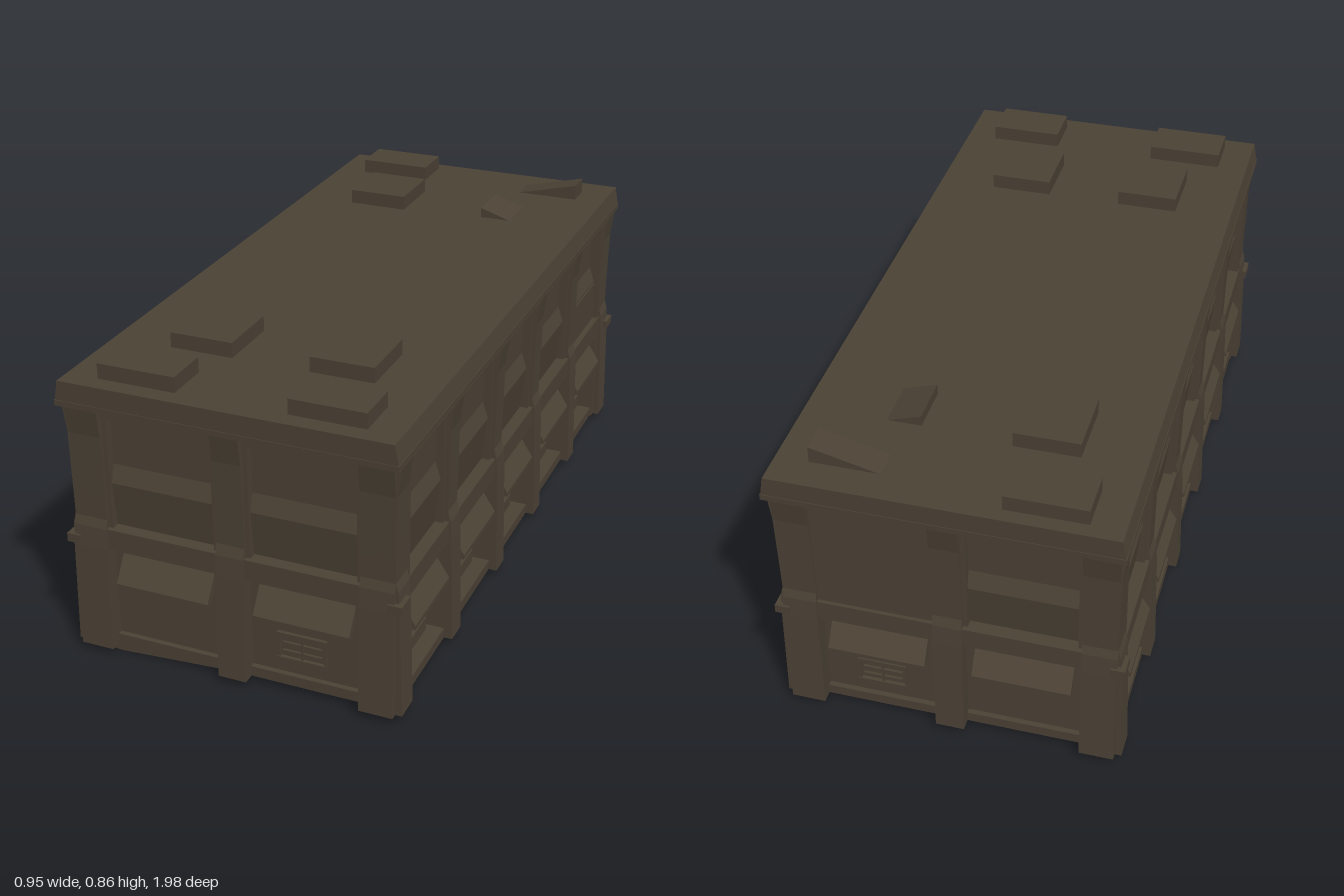
import * as THREE from 'three';

export function createModel() {
  const model = new THREE.Group();
  model.name = 'marketHall';
  const brown = new THREE.MeshStandardMaterial({ color: 0x4d4336, flatShading: true, side: THREE.DoubleSide });
  brown.name = 'weathered brown';

  const add = (parent, name, geometry) => {
    const mesh = new THREE.Mesh(geometry, brown);
    mesh.name = name;
    parent.add(mesh);
    return mesh;
  };
  // Box given by its limits on each axis
  const box = (parent, name, x0, x1, y0, y1, z0, z1) => {
    const mesh = add(parent, name, new THREE.BoxGeometry(x1 - x0, y1 - y0, z1 - z0));
    mesh.position.set((x0 + x1) / 2, (y0 + y1) / 2, (z0 + z1) / 2);
    return mesh;
  };
  // Side profile of [depth, height] points, extruded across a width
  const profile = (parent, name, points, x0, x1) => {
    const shape = new THREE.Shape(points.map(([d, y]) => new THREE.Vector2(d, y)));
    const g = new THREE.ExtrudeGeometry(shape, { depth: x1 - x0, bevelEnabled: false });
    g.translate(0, 0, (x0 - x1) / 2).rotateY(-Math.PI / 2);
    const mesh = add(parent, name, g);
    mesh.position.x = (x0 + x1) / 2;
    return mesh;
  };

  // Base slab, sagging at one front corner
  const base = new THREE.BoxGeometry(0.9, 0.03, 1.9, 18, 1, 8);
  const p = base.attributes.position;
  for (let i = 0; i < p.count; i++) {
    const x = p.getX(i), z = p.getZ(i);
    if (p.getY(i) < 0) {
      const sag = Math.max(0, 1 - Math.abs(x + 0.35) / 0.35) * Math.max(0, (z - 0.5) / 0.45);
      p.setY(i, p.getY(i) - 0.022 * sag);
    }
  }
  base.computeVertexNormals();
  add(model, 'baseSlab', base).position.y = 0.037;

  // Main volumes
  box(model, 'groundFloorCore', -0.36, 0.36, 0.03, 0.34, -0.87, 0.87);
  box(model, 'upperFloorCore', -0.41, 0.41, 0.33, 0.76, -0.92, 0.92);

  // Roof with a slightly tapered cornice
  const cornice = new THREE.BoxGeometry(0.945, 0.07, 1.98);
  const c = cornice.attributes.position;
  for (let i = 0; i < c.count; i++) {
    if (c.getY(i) > 0) c.setX(i, c.getX(i) * 0.975);
  }
  add(model, 'cornice', cornice).position.y = 0.78;
  box(model, 'corniceLip', -0.472, 0.472, 0.744, 0.76, -0.992, 0.992);

  // Roof boxes: x0, x1, z0, z1
  [[-0.37, -0.15, 0.81, 0.94], [0.16, 0.37, 0.81, 0.94], [-0.29, -0.11, 0.51, 0.7], [0.11, 0.29, 0.51, 0.7],
    [-0.29, -0.11, -0.71, -0.52], [-0.37, -0.15, -0.95, -0.82]]
    .forEach(([x0, x1, z0, z1]) => box(model, 'roofVent', x0, x1, 0.81, 0.858, z0, z1));
  // Half-sunken tilted vents at the back
  [[0.14, 0.25, -0.69, -0.55], [0.16, 0.37, -0.9, -0.82]].forEach(([x0, x1, z0, z1], i) => {
    const shape = new THREE.Shape([[x0, 0.81], [x1, 0.81], i ? [x1, 0.862] : [x0, 0.845]].map(([x, y]) => new THREE.Vector2(x, y)));
    const wedge = add(model, 'sunkenVent', new THREE.ExtrudeGeometry(shape, { depth: z1 - z0, bevelEnabled: false }));
    wedge.position.z = z0;
  });

  // Upper bay: recessed pane, sloping sill and lower panel
  const windowBay = (wall, x0, x1) => {
    profile(wall, 'windowBay', [[-0.1, 0.38], [-0.05, 0.38], [-0.034, 0.52], [-0.05, 0.57], [-0.05, 0.73], [-0.1, 0.73]], x0, x1);
    box(wall, 'windowHeader', x0, x1, 0.715, 0.75, -0.08, -0.02);
    for (const [a, b] of [[x0, x0 + 0.012], [x1 - 0.012, x1]]) box(wall, 'windowJamb', a, b, 0.39, 0.72, -0.08, -0.025);
  };
  // Sloping canopy over a stall
  const awning = (wall, x0, x1) => {
    profile(wall, 'awning', [[-0.08, 0.31], [-0.045, 0.305], [0.0, 0.235], [0.0, 0.222], [-0.012, 0.222], [-0.08, 0.285]], x0, x1);
  };
  // Counter, posts and shelves of an open stall
  const stall = (wall, x0, x1, i) => {
    box(wall, 'stallCounter', x0 + 0.02, x1 - 0.02, 0.05, 0.09, -0.11, -0.065);
    box(wall, 'stallLintel', x0, x1, 0.195, 0.215, -0.11, -0.075);
    const posts = i % 4 === 0 ? 5 : 3;
    for (let k = 0; k < posts; k++) {
      const x = x0 + 0.03 + (x1 - x0 - 0.06) * k / (posts - 1);
      box(wall, 'stallPost', x - 0.006, x + 0.006, 0.05, 0.2, -0.105, -0.085);
    }
    if (i % 4) box(wall, 'stallShelf', x0 + 0.05, x1 - 0.08, 0.125, 0.135, -0.11, -0.07);
  };
  // Pillar with a heavier foot, chamfered shoulder and flared top
  const pillar = (wall, x0, x1) => {
    profile(wall, 'pillar', [[-0.11, 0.022], [0.004, 0.022], [-0.004, 0.33], [-0.008, 0.39], [-0.016, 0.42],
      [-0.012, 0.66], [0, 0.75], [-0.11, 0.75]], x0, x1);
  };

  // One wall, facing +z locally; bays are the gaps between pillars
  const makeWall = (name, angle, distance, pillars, closed) => {
    const wall = new THREE.Group();
    wall.name = name;
    wall.rotation.y = angle;
    wall.position.set(Math.sin(angle) * distance, 0, Math.cos(angle) * distance);
    model.add(wall);
    pillars.forEach(([a, b]) => pillar(wall, a, b));
    const left = pillars[0][0], right = pillars[pillars.length - 1][1];
    box(wall, 'floorBand', left, right, 0.33, 0.39, -0.1, -0.012);
    for (let i = 0; i + 1 < pillars.length; i++) {
      const x0 = pillars[i][1], x1 = pillars[i + 1][0];
      windowBay(wall, x0, x1);
      awning(wall, x0 + 0.025, x1 - 0.025);
      if (closed) box(wall, 'groundPanel', x0, x1, 0.03, 0.335, -0.08, -0.045);
      else stall(wall, x0, x1, i);
    }
    return wall;
  };

  const longPillars = [[-0.965, -0.89], [-0.59, -0.52], [-0.21, -0.145], [0.145, 0.21], [0.52, 0.585], [0.89, 0.965]];
  const shortPillars = [[-0.455, -0.36], [-0.04, 0.04], [0.36, 0.455]];
  const leftWall = makeWall('leftWall', Math.PI / 2, 0.47, longPillars, false);
  makeWall('rightWall', -Math.PI / 2, 0.47, longPillars, false);
  const front = makeWall('frontWall', 0, 0.98, shortPillars, true);
  const back = makeWall('backWall', Math.PI, 0.98, shortPillars, true);

  // Lowered shutter in the rearmost left window
  box(leftWall, 'windowShutter', 0.6, 0.88, 0.39, 0.515, -0.06, -0.03);
  // Boarded-over window at the back
  box(back, 'boardedWindow', -0.36, -0.04, 0.39, 0.72, -0.06, -0.022);

  // Serving hatches with frame and shelves
  for (const [wall, x] of [[front, 0.185], [back, -0.2]]) {
    for (const y of [0.097, 0.172]) box(wall, 'hatchFrame', x - 0.07, x + 0.07, y - 0.005, y + 0.005, -0.05, -0.035);
    for (const s of [-1, 1]) box(wall, 'hatchSide', x + s * 0.066 - 0.004, x + s * 0.066 + 0.004, 0.1, 0.17, -0.05, -0.037);
    for (const y of [0.12, 0.145]) box(wall, 'hatchShelf', x - 0.055, x + 0.055, y - 0.003, y + 0.003, -0.05, -0.038);
    box(wall, 'hatchMullion', x - 0.003, x + 0.003, 0.1, 0.17, -0.05, -0.038);
  }

  // Small bracket caps on the corners at floor level
  for (const sx of [-1, 1]) for (const sz of [-1, 1]) {
    const cap = box(model, 'cornerBracket', -0.02, 0.02, 0.335, 0.36, -0.03, 0.03);
    cap.position.x = sx * 0.457;
    cap.position.z = sz * 0.95;
  }
  return model;
}
